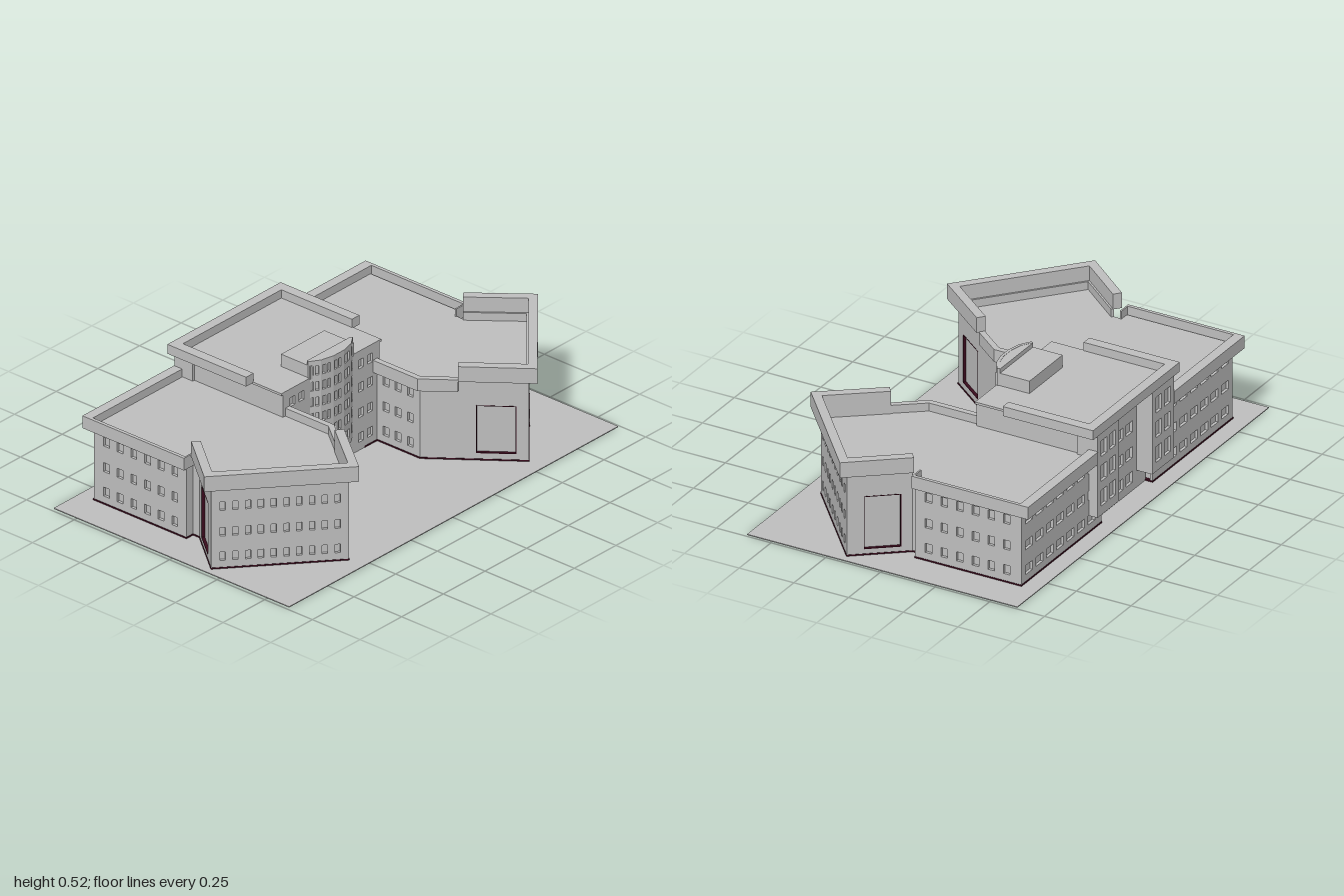
import * as THREE from 'three';

const mat = (name, color) => {
  const m = new THREE.MeshStandardMaterial({ color });
  m.name = name;
  return m;
};

// Shift a plan path [x, z] sideways by d with mitred corners (positive = outward)
function offset(pts, d, closed = false) {
  const n = pts.length;
  const normal = (a, b) => {
    const dx = b[0] - a[0], dz = b[1] - a[1], l = Math.hypot(dx, dz);
    return [-dz / l, dx / l];
  };
  return pts.map((p, i) => {
    let n1 = i > 0 || closed ? normal(pts[(i + n - 1) % n], p) : null;
    let n2 = i < n - 1 || closed ? normal(p, pts[(i + 1) % n]) : null;
    n1 = n1 || n2;
    n2 = n2 || n1;
    const k = d / (1 + n1[0] * n2[0] + n1[1] * n2[1]);
    return [p[0] + (n1[0] + n2[0]) * k, p[1] + (n1[1] + n2[1]) * k];
  });
}

export function createModel() {
  const concrete = mat('concrete grey', 0xbebebe);
  const maroon = mat('dark maroon', 0x3a0a1c);
  const root = new THREE.Group();
  root.name = 'building';
  const T = 0.012; // depth of the window recesses

  const add = (parent, name, geo, m = concrete) => {
    const mesh = new THREE.Mesh(geo, m);
    mesh.name = name;
    parent.add(mesh);
    return mesh;
  };
  const box = (parent, name, x0, x1, y0, y1, z0, z1, m) =>
    add(parent, name, new THREE.BoxGeometry(x1 - x0, y1 - y0, z1 - z0), m)
      .position.set((x0 + x1) / 2, (y0 + y1) / 2, (z0 + z1) / 2);

  // Upright prism over a plan polygon; s = -1 mirrors it in z
  const prism = (parent, name, pts, y0, y1, s = 1, m) => {
    const shape = new THREE.Shape(pts.map(([x, z]) => new THREE.Vector2(x, -z * s)));
    const geo = new THREE.ExtrudeGeometry(shape, { depth: y1 - y0, bevelEnabled: false });
    geo.rotateX(-Math.PI / 2).translate(0, y0, 0);
    return add(parent, name, geo, m);
  };
  const band = (parent, name, path, d, y0, y1, s) =>
    prism(parent, name, [...path, ...offset(path, d).reverse()], y0, y1, s);

  // Wall panel from a to b with recessed openings [u0, u1, v0, v1]
  const wall = (parent, name, a, b, y0, y1, holes, s = 1, doors = []) => {
    const L = Math.hypot(b[0] - a[0], b[1] - a[1]);
    const flip = ([u0, u1, v0, v1]) => (s > 0 ? [u0, u1, v0, v1] : [L - u1, L - u0, v0, v1]);
    const [p, q] = s > 0 ? [a, b] : [[b[0], -b[1]], [a[0], -a[1]]];
    const rect = (C, [u0, u1, v0, v1]) =>
      new C([[u0, v0], [u1, v0], [u1, v1], [u0, v1]].map((c) => new THREE.Vector2(...c)));
    const shape = rect(THREE.Shape, [0, L, y0, y1]);
    shape.holes = [...holes, ...doors].map((h) => rect(THREE.Path, flip(h)));
    const g = new THREE.Group();
    g.name = name;
    g.position.set(p[0], 0, p[1]);
    g.rotation.y = -Math.atan2(q[1] - p[1], q[0] - p[0]);
    parent.add(g);
    const geo = new THREE.ExtrudeGeometry(shape, { depth: T, bevelEnabled: false });
    add(g, name + 'Panel', geo.translate(0, 0, -T));
    // Dark door surround
    doors.map(flip).forEach(([u0, u1, v0, v1]) => {
      const w = 0.003;
      box(g, 'doorSill', u0, u1, v0, v0 + w, -T, 0.001, maroon);
      box(g, 'doorHead', u0, u1, v1 - w, v1, -T, 0.001, maroon);
      box(g, 'doorJamb', u0, u0 + w, v0, v1, -T, 0.001, maroon);
      box(g, 'doorJamb', u1 - w, u1, v0, v1, -T, 0.001, maroon);
    });
  };

  // Regular rows of windows along a wall
  const rows = (u0, u1, count, width, levels, h) => {
    const out = [], step = (u1 - u0) / count;
    for (const v of levels)
      for (let i = 0; i < count; i++) {
        const c = u0 + step * (i + 0.5);
        out.push([c - width / 2, c + width / 2, v, v + h]);
      }
    return out;
  };
  const floors = [0.04, 0.15, 0.265];

  box(root, 'ground', -0.62, 0.615, 0, 0.004, -0.99, 0.985);

  // Two mirrored wings
  const plan = [[-0.545, 0.2], [-0.545, 0.83], [-0.06, 0.83], [-0.06, 0.79], [-0.025, 0.79],
    [0.18, 0.955], [0.54, 0.54], [0.2, 0.275], [-0.025, 0.275], [-0.025, 0.2]];
  const joint = [0.32, 0.3685];
  for (const s of [1, -1]) {
    const wing = new THREE.Group();
    wing.name = s > 0 ? 'frontWing' : 'backWing';
    root.add(wing);
    prism(wing, 'wingCore', offset(plan, -T, true), 0.004, 0.339, s);
    prism(wing, 'wingRoof', offset(plan, -0.001, true), 0.33, 0.34, s);
    prism(wing, 'baseStrip', offset(plan, 0.002, true), 0.003, 0.01, s, maroon);

    const w = (name, i, top, holes, doors) =>
      wall(wing, name, plan[i], plan[i + 1], 0.004, top, holes, s, doors);
    w('rearWall', 0, 0.335, rows(0.04, 0.61, 7, 0.055, floors, 0.04));
    w('endWall', 1, 0.335, rows(0.03, 0.46, 6, 0.03, floors, 0.04));
    w('notchWall', 2, 0.335, []);
    w('notchReturn', 3, 0.335, []);
    w('entranceWall', 4, 0.375, [], [[0.045, 0.195, 0.03, 0.265]]);
    w('outerWall', 5, 0.375, rows(0.02, 0.53, 10, 0.022, floors, 0.038));
    w('innerWall', 6, 0.335, [], [[0.05, 0.21, 0.035, 0.25]]);
    w('courtWall', 7, 0.335, rows(0.02, 0.21, 3, 0.03, floors, 0.04));

    // Tall parapet round the pointed end, lower one elsewhere
    const tall = [plan[4], plan[5], plan[6], joint];
    band(wing, 'tallParapet', tall, 0.034, 0.372, 0.44, s);
    band(wing, 'tallParapetLining', tall, -0.004, 0.33, 0.44, s);
    band(wing, 'courtParapet', [joint, plan[7], plan[8]], 0.025, 0.32, 0.375, s);
    prism(wing, 'lowParapet', [[-0.588, 0.3], [-0.588, 0.85], [-0.055, 0.85], [-0.055, 0.785],
      [-0.062, 0.785], [-0.062, 0.835], [-0.545, 0.835], [-0.545, 0.3]], 0.32, 0.375, s);
  }

  // Central block between the wings
  const centre = new THREE.Group();
  centre.name = 'centralBlock';
  root.add(centre);
  box(centre, 'centreCore', -0.5, -0.025 - T, 0.004, 0.449, -0.29, 0.29);
  box(centre, 'centreRoof', -0.55, -0.025, 0.44, 0.45, -0.3, 0.3);
  wall(centre, 'centreFrontWall', [-0.025, 0.29], [-0.025, -0.29], 0.004, 0.445, [
    ...rows(0.03, 0.14, 2, 0.03, [...floors, 0.37], 0.04),
    ...rows(0.44, 0.55, 2, 0.03, [...floors, 0.37], 0.04)]);
  wall(centre, 'rearRecessWall', [-0.5 - T, -0.2], [-0.5 - T, 0.2], 0.004, 0.445,
    rows(0.09, 0.31, 3, 0.05, [...floors, 0.37], 0.05));
  for (const s of [1, -1]) {
    // Raised rear bays
    prism(centre, 'rearBay', [[-0.573, 0.13], [-0.573, 0.3], [-0.49, 0.3], [-0.49, 0.13]], 0.08, 0.446, s);
    wall(centre, 'rearBayFace', [-0.585, 0.13], [-0.585, 0.3], 0.08, 0.446,
      rows(0.015, 0.155, 2, 0.045, [0.12, 0.23, 0.34], 0.07), s);
  }
  prism(centre, 'centreParapet', [[-0.588, -0.34], [-0.175, -0.34], [-0.175, -0.295], [-0.545, -0.295],
    [-0.545, 0.295], [-0.175, 0.295], [-0.175, 0.34], [-0.588, 0.34]], 0.445, 0.487);
  box(centre, 'roofHousing', -0.175, -0.02, 0.445, 0.505, -0.13, 0.13);

  // Faceted bow-front tower with a window grid
  const bow = [[-0.03, 0.135], [0, 0.09], [0.014, 0.032], [0.014, -0.032], [0, -0.09], [-0.03, -0.135]];
  prism(centre, 'bowCore', offset(bow, -T), 0.08, 0.524);
  for (let i = 0; i < bow.length - 1; i++)
    wall(centre, 'bowFacet', bow[i], bow[i + 1], 0.08, 0.525,
      rows(0.004, 0.05, 2, 0.015, [0.11, 0.18, 0.25, 0.32, 0.39, 0.46], 0.04));

  return root;
}
